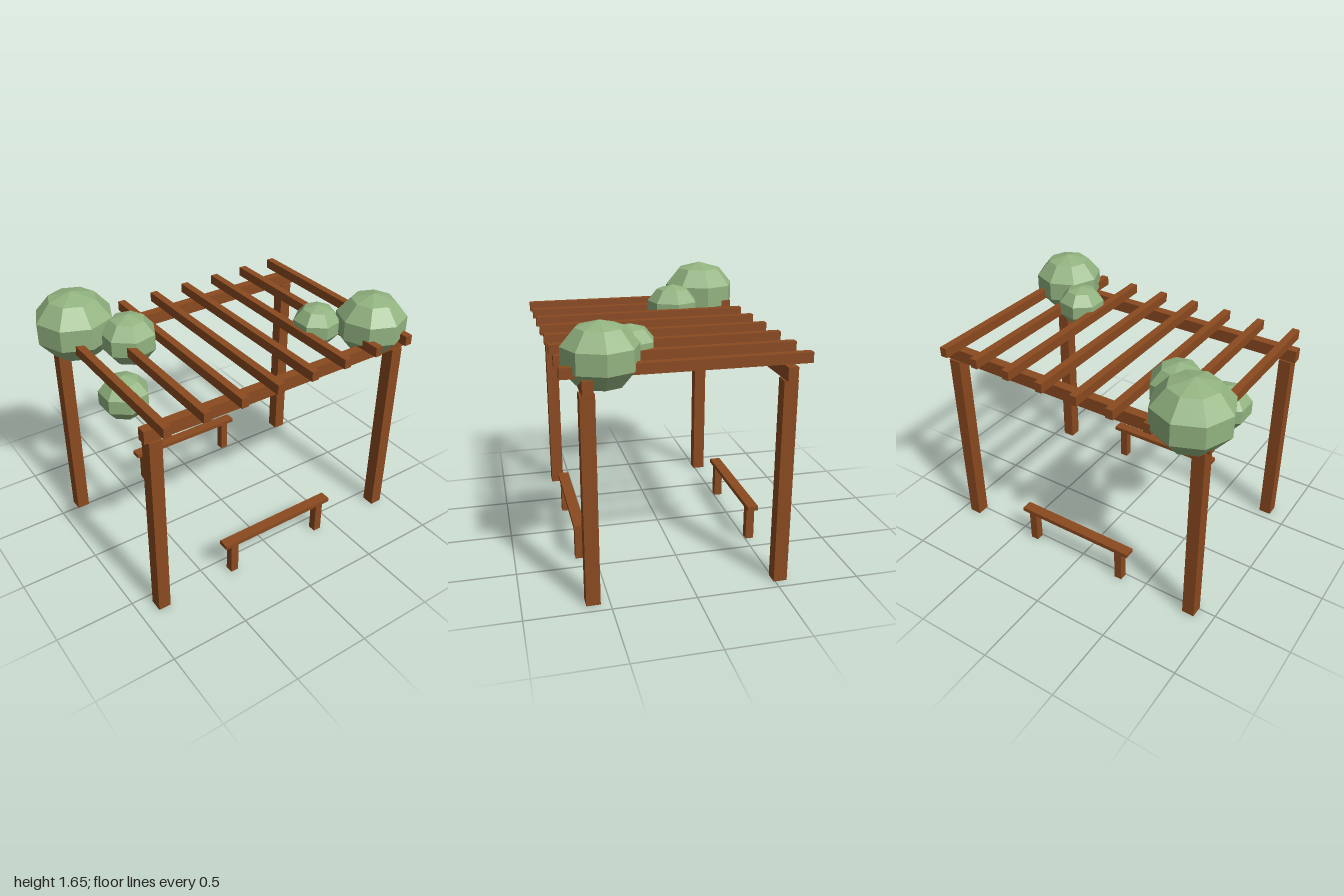
import * as THREE from 'three';

const CX = 0.027, CZ = 0.033; // centre of the timber frame

export function createModel() {
  const model = new THREE.Group();
  model.name = 'pergola';

  const wood = new THREE.MeshStandardMaterial({ color: 0x8b4a20 });
  wood.name = 'brown wood';
  const leaves = new THREE.MeshStandardMaterial({ color: 0x92b380, flatShading: true });
  leaves.name = 'soft green foliage';

  // Box standing on height y
  function timber(name, w, h, d, x, y, z, parent = model) {
    const mesh = new THREE.Mesh(new THREE.BoxGeometry(w, h, d), wood);
    mesh.name = name;
    mesh.position.set(x, y + h / 2, z);
    parent.add(mesh);
  }

  for (const side of [1, -1]) {
    const z = CZ + side * 0.564;
    const row = side > 0 ? 'front' : 'back';

    // Posts and the long beam they carry
    for (const s of [-1, 1]) timber(row + 'Post', 0.08, 1.255, 0.083, CX + s * 0.873, 0, z);
    timber(row + 'Beam', 1.87, 0.081, 0.06, CX, 1.255, z);

    // Bench below each beam
    const bench = new THREE.Group();
    bench.name = row + 'Bench';
    timber('seat', 0.83, 0.028, 0.07, CX, 0.222, z, bench);
    for (const s of [-1, 1]) timber('benchLeg', 0.053, 0.222, 0.053, CX + s * 0.343, 0, z, bench);
    model.add(bench);
  }

  // Rafters across the beams
  for (let i = 0; i < 8; i++) {
    timber('rafter', 0.048, 0.062, 1.406, CX + (i - 3.5) * 0.244, 1.336, CZ);
  }

  // Faceted foliage clumps: x, y, z, radius, half height, sides
  const clumps = [
    [-0.755, 1.43, -0.49, 0.257, 0.222, 8],
    [-0.522, 1.377, -0.233, 0.184, 0.162, 7],
    [-0.709, 1.169, 0.03, 0.162, 0.139, 7],
    [0.782, 1.42, 0.498, 0.229, 0.195, 8],
    [0.525, 1.39, 0.286, 0.157, 0.135, 7],
  ];
  for (const [x, y, z, r, ry, sides] of clumps) {
    const clump = new THREE.Mesh(new THREE.SphereGeometry(1, sides, 5), leaves);
    clump.name = 'foliageClump';
    clump.scale.set(r, ry, r);
    clump.rotation.y = Math.PI;
    clump.position.set(x, y, z);
    model.add(clump);
  }

  return model;
}
